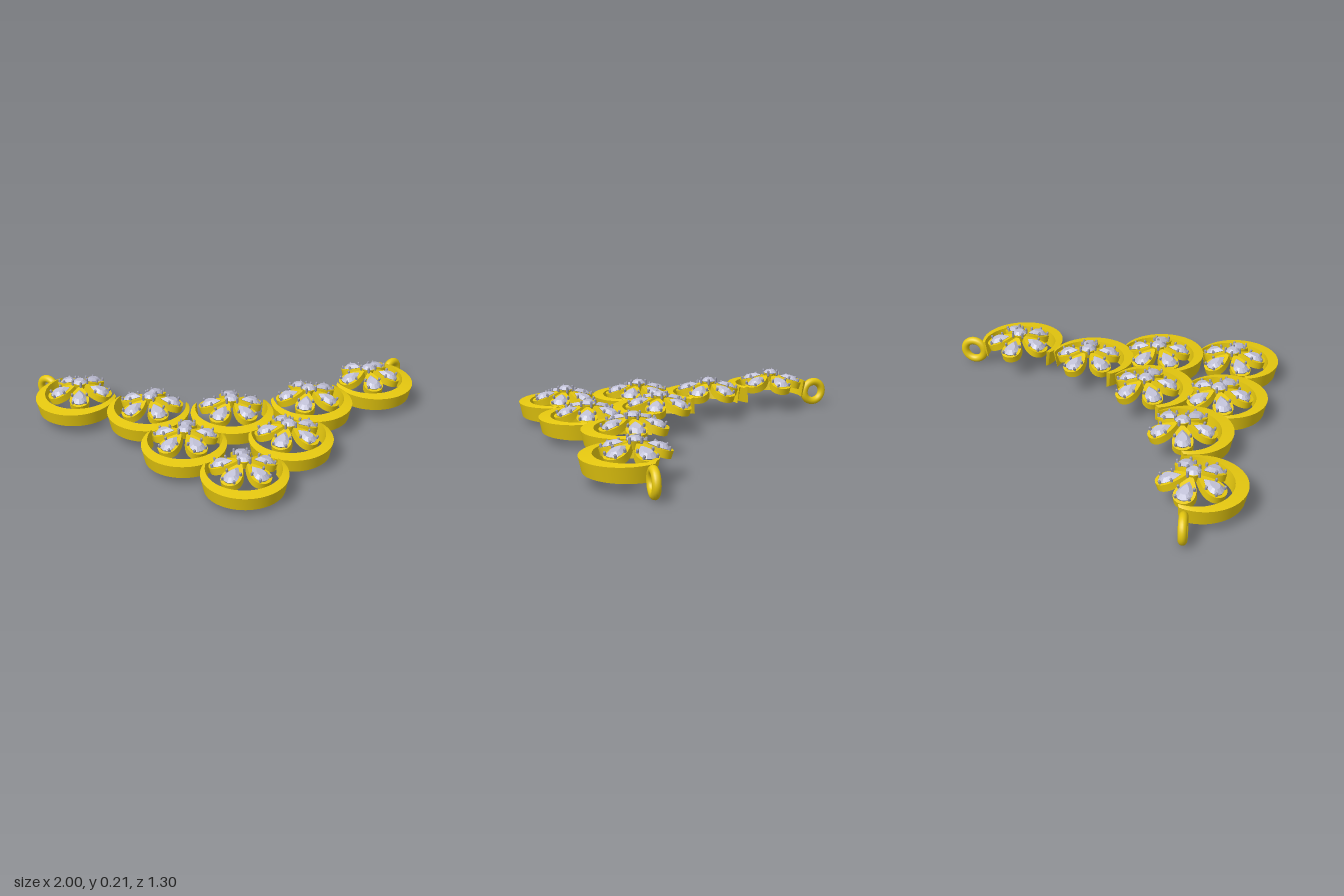
import * as THREE from 'three';
import { toCreasedNormals } from 'three/addons/utils/BufferGeometryUtils.js';
import { ConvexGeometry } from 'three/addons/geometries/ConvexGeometry.js';

const gold = new THREE.MeshStandardMaterial({ color: 0xe6c80f });
const stone = new THREE.MeshStandardMaterial({ color: 0xc0c0d6 });
const metal = new THREE.MeshStandardMaterial({ color: 0x9a9aaa });

function add(parent, name, geometry, material, x = 0, y = 0, z = 0) {
  const mesh = new THREE.Mesh(geometry, material);
  mesh.name = name;
  mesh.position.set(x, y, z);
  parent.add(mesh);
  return mesh;
}

// Teardrop outline along x, its point at u0 and its round end at u1
function teardrop(u0, u1, halfWidth, n) {
  return Array.from({ length: n }, (_, i) => {
    const t = -Math.PI + (2 * Math.PI * i) / n;
    return new THREE.Vector2(
      (u0 + u1) / 2 + ((u1 - u0) / 2) * Math.cos(t),
      1.3 * halfWidth * Math.sin(t) * Math.cos(t / 2));
  });
}

// Cut stone: outline as girdle, smaller flat table above, point below
function cutStone(outline, centre, crown, depth) {
  const points = [new THREE.Vector3(centre, -depth, 0)];
  for (const p of outline) {
    points.push(new THREE.Vector3(p.x, 0, p.y));
    points.push(new THREE.Vector3(centre + (p.x - centre) * 0.55, crown, p.y * 0.55));
  }
  return new ConvexGeometry(points);
}

// Crescent band: four-cornered section swept from horn to horn
function crescentGeometry() {
  const steps = 48, reach = THREE.MathUtils.degToRad(116);
  const section = (i) => {
    const a = -reach + (2 * reach * i) / steps;
    const lift = 0.012 * (a / reach) ** 2;
    const at = (r, angle, offset, y) =>
      [r * Math.sin(angle), y, offset + r * Math.cos(angle)];
    return [
      at(0.21, a, 0.035, 0.07 + lift),
      at(0.184, a * 0.95, 0, 0.078 + lift),
      at(0.174, a * 0.95, 0, 0),
      at(0.194, a, 0.035, 0),
    ];
  };
  const positions = [], index = [];
  for (let k = 0; k < 4; k++) {
    const base = positions.length / 3;
    for (let i = 0; i <= steps; i++) {
      const s = section(i);
      positions.push(...s[k], ...s[(k + 1) % 4]);
      if (i < steps) {
        const a = base + 2 * i;
        index.push(a, a + 2, a + 1, a + 1, a + 2, a + 3);
      }
    }
  }
  for (const end of [0, steps]) {
    const base = positions.length / 3;
    section(end).forEach((p) => positions.push(...p));
    const order = end ? [0, 2, 1, 0, 3, 2] : [0, 1, 2, 0, 2, 3];
    index.push(...order.map((j) => base + j));
  }
  const geometry = new THREE.BufferGeometry();
  geometry.setAttribute('position', new THREE.Float32BufferAttribute(positions, 3));
  geometry.setIndex(index);
  geometry.computeVertexNormals();
  return geometry;
}

// Open petal setting, top face at y = 0
function petalGeometry() {
  const depth = 0.036;
  const shape = new THREE.Shape(teardrop(0.022, 0.178, 0.05, 28));
  shape.holes.push(new THREE.Path(teardrop(0.056, 0.164, 0.036, 24).reverse()));
  const geometry = new THREE.ExtrudeGeometry(shape, { depth, bevelEnabled: false });
  geometry.rotateX(-Math.PI / 2).translate(0, -depth, 0);
  return toCreasedNormals(geometry, 0.6);
}

const circle = Array.from({ length: 10 }, (_, i) =>
  new THREE.Vector2(0.036, 0).rotateAround(new THREE.Vector2(), (i * Math.PI) / 5));

const parts = {
  crescent: crescentGeometry(),
  petal: petalGeometry(),
  petalStone: cutStone(teardrop(0.057, 0.162, 0.038, 14), 0.115, 0.016, 0.025),
  centreStone: cutStone(circle, 0, 0.014, 0.026),
  prong: new THREE.CapsuleGeometry(0.0065, 0.022, 3, 8),
  hub: new THREE.CylinderGeometry(0.034, 0.022, 0.04, 20),
};

// Five-petalled flower with a raised centre stone
function makeFlower() {
  const flower = new THREE.Group();
  flower.name = 'flower';
  for (let i = 0; i < 5; i++) {
    const arm = new THREE.Group();
    arm.name = 'petalArm';
    arm.rotation.y = Math.PI / 2 + (i * 2 * Math.PI) / 5;
    const petal = new THREE.Group();
    petal.name = 'petal';
    petal.position.y = 0.135;
    petal.rotation.z = -0.3;
    add(petal, 'petalSetting', parts.petal, gold);
    add(petal, 'petalStone', parts.petalStone, stone, 0, 0.002, 0);
    for (const [u, v] of [[0.152, 0.032], [0.152, -0.032], [0.098, 0.037], [0.098, -0.037]])
      add(petal, 'petalProng', parts.prong, metal, u, 0.002, v);
    arm.add(petal);
    flower.add(arm);
  }
  add(flower, 'centreCup', parts.hub, gold, 0, 0.115, 0);
  add(flower, 'centreStone', parts.centreStone, stone, 0, 0.14, 0);
  for (let i = 0; i < 4; i++) {
    const a = Math.PI / 4 + (i * Math.PI) / 2;
    add(flower, 'centreProng', parts.prong, metal,
      0.037 * Math.cos(a), 0.139, 0.037 * Math.sin(a));
  }
  return flower;
}

export function createModel() {
  const necklace = new THREE.Group();
  necklace.name = 'flowerBib';

  // Flower and crescent units: x, base height, z, turn in degrees
  const units = [
    ['bottomUnit', 0, 0.03, 0.4, 0],
    ['centreUnit', 0, 0.06, -0.145, 0],
    ['lowerUnit', 0.257, 0.042, 0.112, 10],
    ['middleUnit', 0.41, 0.058, -0.22, 18],
    ['outerUnit', 0.765, 0.055, -0.42, 38],
  ];
  for (const [name, x, y, z, turn] of units) {
    for (const side of x ? [1, -1] : [1]) {
      const unit = new THREE.Group();
      unit.name = name;
      unit.position.set(side * x, y, z);
      unit.rotation.y = side * THREE.MathUtils.degToRad(turn);
      add(unit, 'crescent', parts.crescent, gold);
      unit.add(makeFlower());
      necklace.add(unit);
    }
  }

  // Upright chain rings on the outer horns
  const ring = new THREE.TorusGeometry(0.053, 0.02, 14, 36);
  for (const side of [1, -1])
    add(necklace, 'chainRing', ring, gold, side * 0.938, 0.075, -0.603).rotation.y = side * 0.71;

  return necklace;
}
